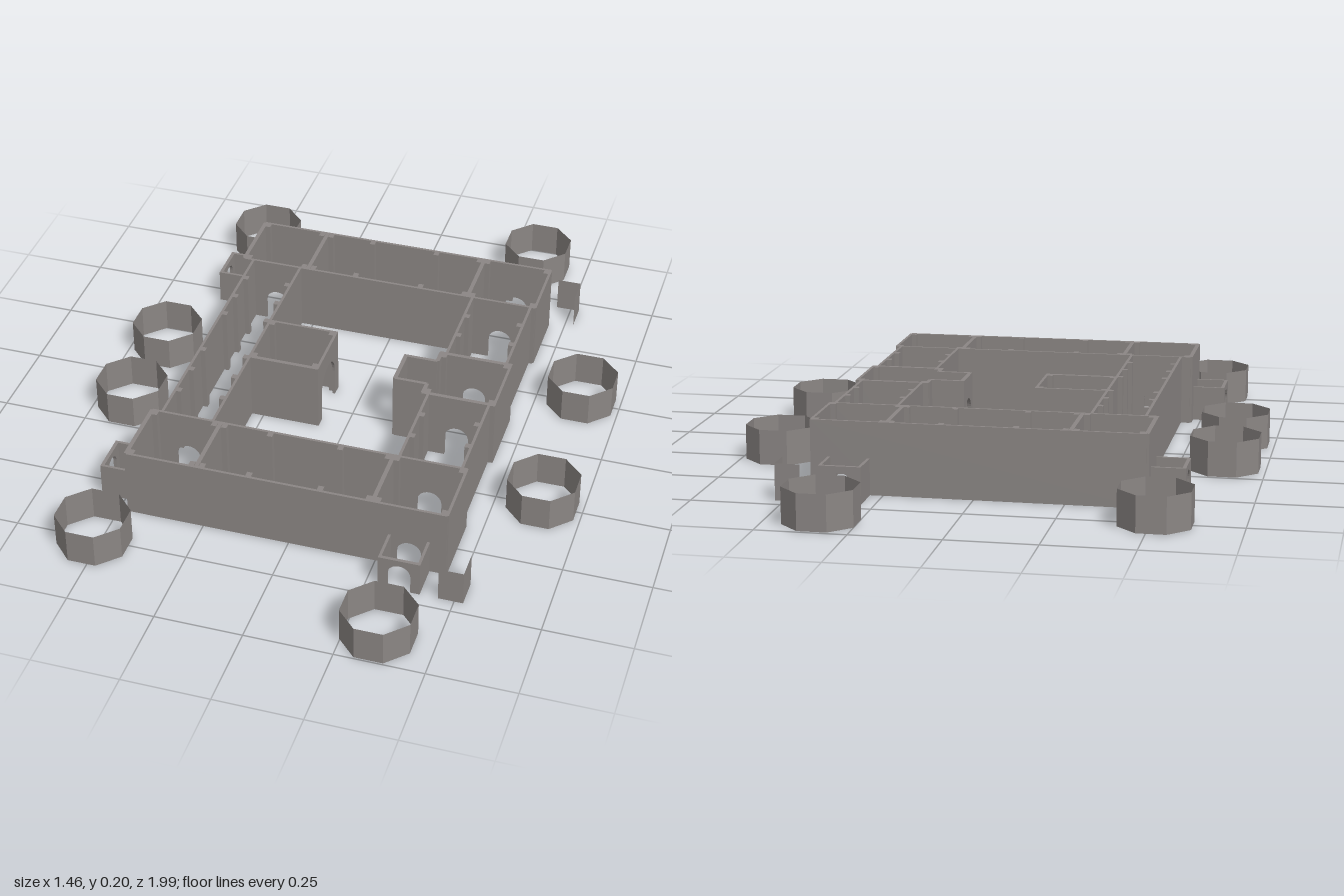
import * as THREE from 'three';

const stone = new THREE.MeshStandardMaterial({ color: 0x8b8684, name: 'stone' });
const thinStone = new THREE.MeshStandardMaterial({ color: 0x8b8684, name: 'thin stone', side: THREE.DoubleSide });
const H = 0.205, LOW = 0.103;

// Upright wall from (x0,z0) to (x1,z1), with arched doors cut up from the floor.
function wall(group, name, [x0, z0], [x1, z1], { h = H, t = 0.008, doors = [] } = {}) {
  const len = Math.hypot(x1 - x0, z1 - z0);
  const s = new THREE.Shape();
  s.moveTo(0, 0);
  for (const { at = 0.5, w = 0.07, top = 0.1 } of doors) {
    const c = at * len, r = w / 2;
    s.lineTo(c - r, 0);
    s.lineTo(c - r, top - r);
    s.absarc(c, top - r, r, Math.PI, 0, true);
    s.lineTo(c + r, 0);
  }
  s.lineTo(len, 0);
  s.lineTo(len, h);
  s.lineTo(0, h);
  s.closePath();
  const geo = new THREE.ExtrudeGeometry(s, { depth: t, bevelEnabled: false, curveSegments: 8 });
  geo.translate(0, 0, -t / 2);
  const m = new THREE.Mesh(geo, stone);
  m.name = name;
  m.position.set(x0, 0, z0);
  m.rotation.y = -Math.atan2(z1 - z0, x1 - x0);
  group.add(m);
}

function post(group, x, z) {
  const m = new THREE.Mesh(new THREE.BoxGeometry(0.016, H, 0.018), stone);
  m.name = 'post';
  m.position.set(x, H / 2, z);
  group.add(m);
}

function thinPanel(group, name, w, x, z, turn) {
  const m = new THREE.Mesh(new THREE.PlaneGeometry(w, LOW), thinStone);
  m.name = name;
  m.position.set(x, LOW / 2, z);
  m.rotation.y = turn;
  group.add(m);
}

function part(root, name) {
  const g = new THREE.Group();
  g.name = name;
  root.add(g);
  return g;
}

export function createModel() {
  const root = new THREE.Group();
  root.name = 'courtyardFort';
  const door = { t: 0.012, doors: [{}] };

  // Front and back wings, each of three rooms
  for (const s of [1, -1]) {
    const g = part(root, s > 0 ? 'frontWing' : 'backWing');
    const inner = 0.4 * s, outer = 0.607 * s, mid = 0.503 * s;
    wall(g, 'outerWall', [-0.47, outer], [0.45, outer], { doors: [{ at: 0.886, w: 0.07, top: 0.085 }] });
    wall(g, 'innerWall', [-0.47, inner], [0.45, inner], { doors: [{ at: 0.115 }, { at: 0.886 }] });
    for (const x of [-0.47, -0.265, 0.24])
      wall(g, 'crossWall', [x, inner], [x, outer], { t: 0.012, doors: [{ top: x < -0.4 ? 0.085 : 0.1 }] });
    wall(g, 'endWall', [0.449, inner], [0.449, outer]);
    for (const x of [-0.457, -0.25, -0.28, -0.115, 0.09, 0.227, 0.253, 0.438])
      for (const z of [inner + 0.012 * s, outer - 0.012 * s]) post(g, x, z);

    // Low porches on the outer wall and on the right end
    const p = part(root, 'porches');
    const low = { h: LOW, t: 0.008 };
    const lowDoor = { h: LOW, t: 0.01, doors: [{ w: 0.065, top: 0.085 }] };
    wall(p, 'porchSide', [0.29, outer], [0.29, 0.705 * s], low);
    wall(p, 'porchSide', [0.4, outer], [0.4, 0.705 * s], low);
    wall(p, 'porchFront', [0.286, 0.705 * s], [0.404, 0.705 * s], lowDoor);
    wall(p, 'porchSide', [-0.47, mid - 0.056], [-0.565, mid - 0.056], low);
    wall(p, 'porchSide', [-0.47, mid + 0.056], [-0.565, mid + 0.056], low);
    wall(p, 'porchFront', [-0.565, mid - 0.06], [-0.565, mid + 0.06], lowDoor);

    // Low corner screen beside the outer porch
    thinPanel(p, 'cornerScreenFront', 0.07, 0.49, 0.71 * s, 0);
    thinPanel(p, 'cornerScreenSide', 0.08, 0.525, 0.67 * s, Math.PI / 2);
  }

  // Gallery on the -x side
  const west = part(root, 'longGallery');
  wall(west, 'outerWall', [-0.44, -0.4], [-0.44, 0.4]);
  wall(west, 'courtWall', [-0.289, -0.4], [-0.289, 0.4], { doors: [{ at: 0.48 }] });
  for (const z of [-0.3, -0.2, -0.105, 0.085, 0.185, 0.29])
    for (const x of [-0.43, -0.299]) post(west, x, z);

  // Hall reaching into the court, with a wide arch
  const hall = part(root, 'courtHall');
  wall(hall, 'sideWall', [-0.289, -0.108], [-0.08, -0.108]);
  wall(hall, 'sideWall', [-0.289, 0.079], [-0.08, 0.079], { t: 0.012 });
  wall(hall, 'archWall', [-0.083, -0.112], [-0.083, 0.085], { doors: [{ w: 0.13, top: 0.15 }] });
  for (const z of [-0.098, 0.067]) for (const x of [-0.278, -0.094]) post(hall, x, z);

  // Galleries and gatehouse on the +x side
  const east = part(root, 'splitGallery');
  for (const s of [1, -1]) {
    wall(east, 'courtWall', [0.256, 0.1 * s], [0.256, 0.4 * s]);
    wall(east, 'outerWall', [0.435, 0.1 * s], [0.435, 0.4 * s]);
    for (const z of [0.2, 0.3]) for (const x of [0.265, 0.425]) post(east, x, z * s);
  }
  const gate = part(root, 'gatehouse');
  for (const s of [1, -1]) {
    wall(gate, 'sideWall', [0.236, 0.1 * s], [0.45, 0.1 * s], door);
    wall(gate, 'courtWall', [0.24, 0.1 * s], [0.24, 0.057 * s], { t: 0.012 });
    wall(gate, 'bayWall', [0.24, 0.057 * s], [0.145, 0.057 * s], { t: 0.01 });
    for (const x of [0.252, 0.438]) post(gate, x, 0.088 * s);
  }
  wall(gate, 'outerWall', [0.449, -0.105], [0.449, 0.105]);
  wall(gate, 'bayArch', [0.145, -0.062], [0.145, 0.06], { t: 0.012, doors: [{ w: 0.08, top: 0.14 }] });

  // Eight open octagonal towers standing around the walls
  for (const [x, z] of [[0.345, 0.9], [0.635, 0.25], [-0.515, 0.76], [-0.635, 0.15]])
    for (const s of [1, -1]) {
      const geo = new THREE.CylinderGeometry(0.105, 0.105, LOW - 0.002, 8, 1, true, Math.PI / 8).toNonIndexed();
      geo.computeVertexNormals();
      const m = new THREE.Mesh(geo, thinStone);
      m.name = 'tower';
      m.position.set(x, LOW / 2 + 0.001, z * s);
      root.add(m);
    }
  return root;
}
